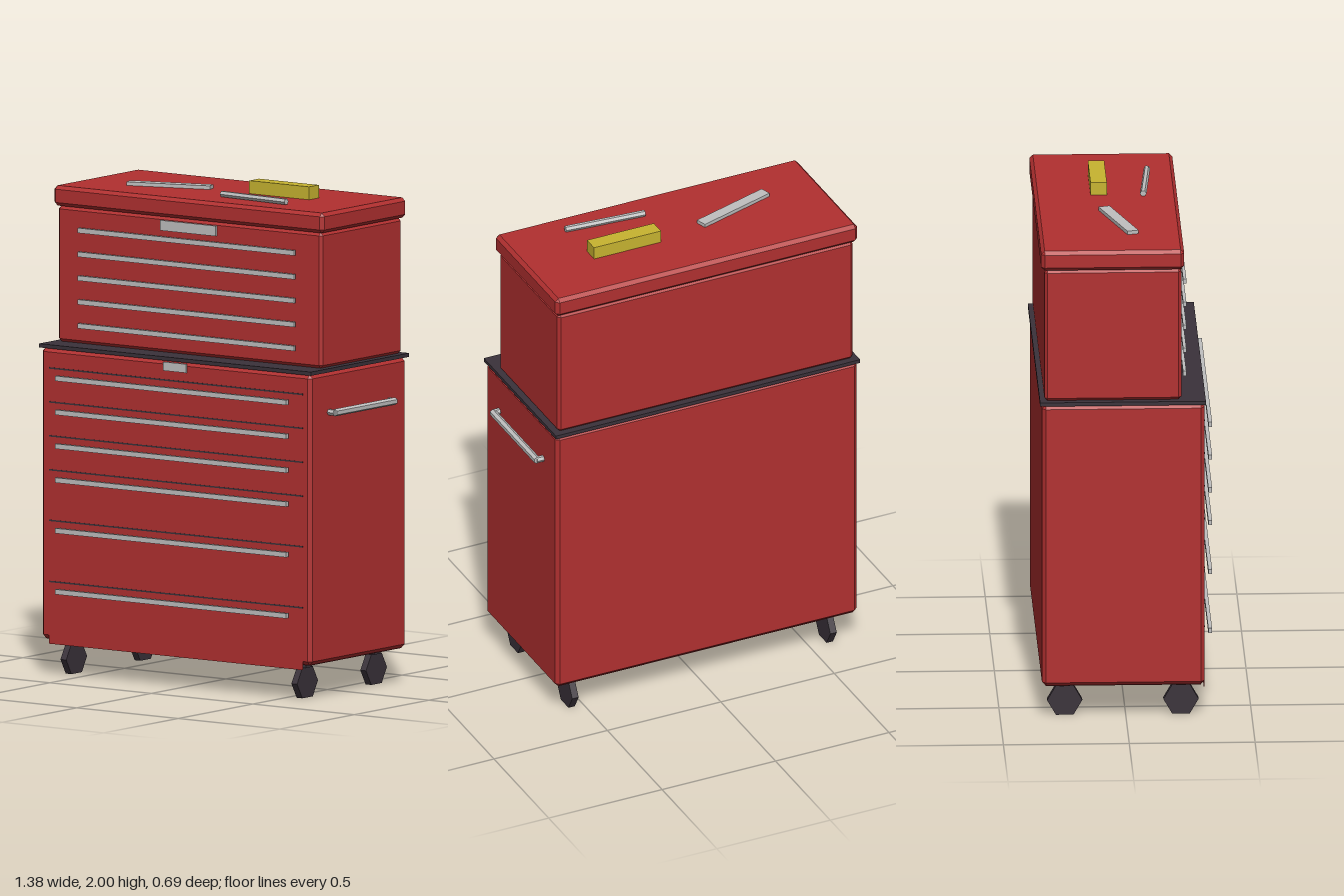
import * as THREE from 'three';
import { ConvexGeometry } from 'three/addons/geometries/ConvexGeometry.js';

const material = (name, color) => {
  const m = new THREE.MeshStandardMaterial({ color });
  m.name = name;
  return m;
};

// Box given by its limits, with flat chamfers on every edge
function chamferBox(x0, x1, y0, y1, z0, z1, c) {
  const a = (x1 - x0) / 2, b = (y1 - y0) / 2, d = (z1 - z0) / 2;
  const pts = [];
  for (const sx of [-1, 1]) for (const sy of [-1, 1]) for (const sz of [-1, 1]) {
    pts.push(
      new THREE.Vector3(sx * a, sy * (b - c), sz * (d - c)),
      new THREE.Vector3(sx * (a - c), sy * b, sz * (d - c)),
      new THREE.Vector3(sx * (a - c), sy * (b - c), sz * d)
    );
  }
  return new ConvexGeometry(pts).translate((x0 + x1) / 2, (y0 + y1) / 2, (z0 + z1) / 2);
}

// Plain box given by its limits
const box = (x0, x1, y0, y1, z0, z1) =>
  new THREE.BoxGeometry(x1 - x0, y1 - y0, z1 - z0)
    .translate((x0 + x1) / 2, (y0 + y1) / 2, (z0 + z1) / 2);

// Six-sided rod lying along x or z
function rod(radius, length, axis) {
  const g = new THREE.CylinderGeometry(radius, radius, length, 6).toNonIndexed();
  if (axis === 'x') g.rotateZ(Math.PI / 2);
  else g.rotateX(Math.PI / 2);
  g.computeVertexNormals();
  return g;
}

export function createModel() {
  const model = new THREE.Group();
  model.name = 'toolChest';
  const red = material('redPaint', 0xb23030);
  const darkRed = material('darkRedUnderside', 0x6e1e1e);
  const dark = material('darkRubber', 0x3a323a);
  const steel = material('steel', 0xc0c0c0);
  const yellow = material('yellowPlastic', 0xc8b430);

  const add = (name, geometry, mat) => {
    const mesh = new THREE.Mesh(geometry, mat);
    mesh.name = name;
    model.add(mesh);
    return mesh;
  };

  // Main bodies
  add('lowerCabinet', chamferBox(-0.685, 0.645, 0.143, 1.308, -0.335, 0.311, 0.015), red);
  add('cabinetUnderside', box(-0.67, 0.63, 0.141, 0.145, -0.32, 0.296), darkRed);
  add('worktopMat', box(-0.69, 0.651, 1.308, 1.323, -0.343, 0.316), dark);
  add('upperChest', chamferBox(-0.67, 0.631, 1.323, 1.867, -0.325, 0.219, 0.012), red);
  add('lid', chamferBox(-0.685, 0.645, 1.867, 1.948, -0.338, 0.23, 0.014), red);

  // Lower drawers: thin fronts, a dark gap above each, and a pull bar
  const gaps = [1.229, 1.093, 0.957, 0.821, 0.618, 0.373, 0.123];
  for (let i = 0; i < 6; i++) {
    const top = gaps[i];
    add('drawerFront', box(-0.642, 0.608, gaps[i + 1], top, 0.309, 0.312), red);
    add('drawerGap', box(-0.642, 0.608, top - 0.003, top + 0.003, 0.31, 0.313), dark);
    add('lowerPull', box(-0.59, 0.549, top - 0.044, top - 0.024, 0.329, 0.344), steel);
  }

  // Upper drawer pulls
  for (let i = 0; i < 5; i++) {
    const y = 1.78 - i * 0.0957;
    add('upperPull', box(-0.552, 0.513, y - 0.01, y + 0.01, 0.23, 0.243), steel);
  }

  // Blank front plates
  add('upperPlate', box(-0.157, 0.116, 1.812, 1.853, 0.219, 0.227), steel);
  add('lowerPlate', box(-0.077, 0.036, 1.267, 1.302, 0.31, 0.316), steel);

  // Side handle
  add('sideHandleBar', rod(0.015, 0.405, 'z'), steel).position.set(0.673, 1.147, -0.015);
  for (const z of [-0.213, 0.186])
    add('sideHandlePost', rod(0.013, 0.035, 'x'), steel).position.set(0.657, 1.147, z);

  // Casters, resting on a flat side
  const wheel = rod(0.07, 0.028, 'x');
  wheel.rotateX(Math.PI / 2);
  wheel.rotateX(Math.PI / 6);
  for (const x of [-0.588, 0.55]) for (const z of [-0.242, 0.22]) {
    add('casterWheel', wheel, dark).position.set(x, 0.0606, z);
    add('casterMount', box(x - 0.02, x + 0.02, 0.12, 0.147, z - 0.02, z + 0.02), dark);
  }

  // Tools lying on the lid
  add('yellowBlock', box(0.078, 0.373, 1.948, 2, -0.115, -0.05), yellow);
  const bar = add('flatBar', new THREE.BoxGeometry(0.35, 0.015, 0.046), steel);
  bar.position.set(-0.288, 1.955, -0.017);
  bar.rotation.y = 0.3;
  const driver = add('roundBar', rod(0.013, 0.338, 'x'), steel);
  driver.position.set(0.218, 1.961, 0.107);
  driver.rotation.y = -0.08;

  return model;
}
